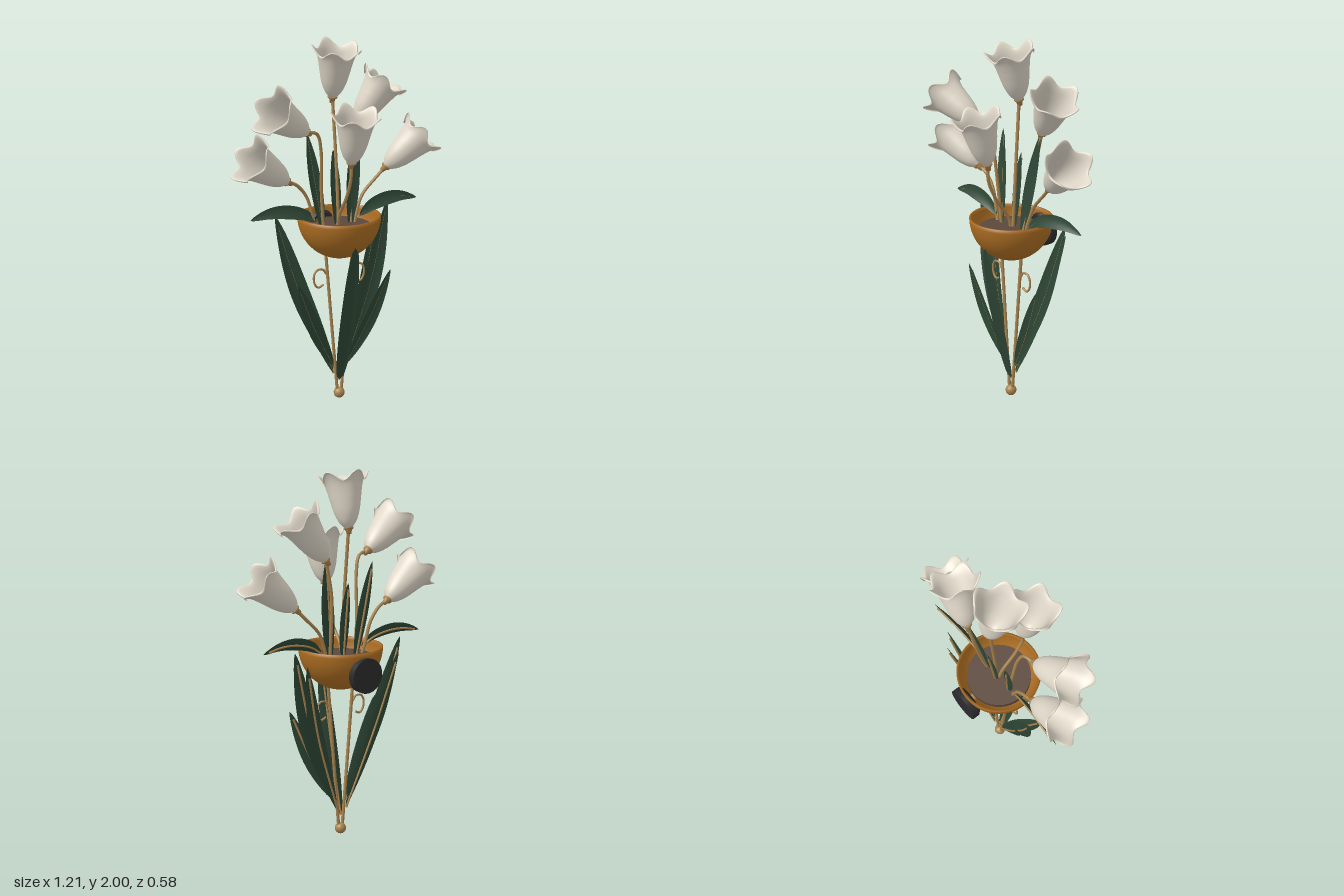
import * as THREE from 'three';
import { mergeVertices } from 'three/addons/utils/BufferGeometryUtils.js';

const V = (x, y, z) => new THREE.Vector3(x, y, z);
const CX = 0.008, CZ = -0.042; // axis of the bowl

function material(name, color, side = THREE.FrontSide) {
  const m = new THREE.MeshStandardMaterial({ color, side });
  m.name = name;
  return m;
}

export function createModel() {
  const petal = material('ivory petal', 0xdfd7c8, THREE.DoubleSide);
  const bowlColor = material('amber bowl', 0xad6e23);
  const brass = material('antique brass', 0xa98550);
  const green = material('dark green leaf', 0x2e4635, THREE.DoubleSide);
  const soilColor = material('brown soil', 0x5c483b);
  const black = material('black mount', 0x2b2b2d);

  const model = new THREE.Group();
  model.name = 'flowerSconce';

  function add(name, geometry, mat, x = 0, y = 0, z = 0, parent = model) {
    const mesh = new THREE.Mesh(geometry, mat);
    mesh.name = name;
    mesh.position.set(x, y, z);
    parent.add(mesh);
    return mesh;
  }
  const curveOf = (pts) => new THREE.CatmullRomCurve3(pts.map((p) => V(...p)));
  const tube = (name, pts, r, mat = brass) =>
    add(name, new THREE.TubeGeometry(curveOf(pts), 28, r, 8), mat);

  // Thin-walled hemispherical bowl with soil
  const profile = [];
  for (let i = 0; i <= 20; i++) {
    const a = (i / 20) * Math.PI / 2;
    profile.push(new THREE.Vector2(0.226 * Math.sin(a), -0.235 * Math.cos(a)));
  }
  for (let i = 20; i >= 0; i--) {
    const a = (i / 20) * Math.PI / 2;
    profile.push(new THREE.Vector2(0.215 * Math.sin(a), -0.224 * Math.cos(a)));
  }
  add('bowl', new THREE.LatheGeometry(profile, 56), bowlColor, CX, 1.065, CZ);
  add('soil', new THREE.CylinderGeometry(0.172, 0.172, 0.03, 40), soilColor, CX, 0.995, CZ);

  // Wall mount: chamfered disc and short post
  const disc = [[0, 0], [0.093, 0], [0.093, 0], [0.093, 0.04], [0.093, 0.04], [0.08, 0.053], [0.08, 0.053], [0, 0.053]];
  add('wallMount', new THREE.LatheGeometry(disc.map((p) => new THREE.Vector2(...p)), 40), black,
    0.012, 0.948, -0.288).rotation.x = Math.PI / 2;
  add('mountPost', new THREE.CylinderGeometry(0.02, 0.02, 0.07, 20), brass,
    0.012, 0.96, -0.24).rotation.x = Math.PI / 2;

  // Lower stems meeting in a ball, with a wire curl on each side
  add('bottomBall', new THREE.SphereGeometry(0.031, 24, 16), brass, CX, 0.033, CZ);
  for (const s of [-1, 1]) {
    tube('lowerStem', [[CX + s * 0.012, 0.04, CZ], [CX + s * 0.045, 0.42, CZ], [CX + s * 0.083, 0.87, CZ]], 0.009);
    tube('wireCurl', [[0.082, 0.745], [0.1, 0.771], [0.135, 0.772], [0.154, 0.745], [0.152, 0.7], [0.13, 0.673], [0.097, 0.685]]
      .map(([x, y]) => [CX + s * x, y, CZ]), 0.006);
  }

  // Leaf swept along a path, slightly folded, with a rib on its back; low bluntness gives round ends
  function leaf(name, pts, halfWidth, facing, bluntness = 0.7) {
    const curve = curveOf(pts);
    const g = new THREE.PlaneGeometry(2, 1, 6, 32);
    const p = g.attributes.position;
    for (let i = 0; i < p.count; i++) {
      const u = p.getX(i), t = THREE.MathUtils.clamp(p.getY(i) + 0.5, 0, 1);
      const tangent = curve.getTangent(t);
      const side = tangent.clone().cross(facing).normalize();
      const normal = side.clone().cross(tangent).normalize();
      const w = halfWidth * Math.pow(Math.max(0, Math.sin(Math.PI * Math.pow(t, 0.95))), bluntness);
      const q = curve.getPoint(t).addScaledVector(side, u * w).addScaledVector(normal, 0.2 * u * u * w);
      p.setXYZ(i, q.x, q.y, q.z);
    }
    g.computeVertexNormals();
    add(name, g, green);
    const back = facing.clone().normalize().multiplyScalar(-0.005);
    const rib = new THREE.CatmullRomCurve3(curve.getPoints(14).slice(0, 14).map((q) => q.add(back)));
    add(name + 'Rib', new THREE.TubeGeometry(rib, 24, 0.0055, 6), brass);
  }
  const forward = V(0, 0, 1), tilted = V(0, 0.45, 1), up = V(0, 1, 0);

  leaf('frontLeaf', [[CX, 0.11, -0.04], [CX, 0.5, 0.05], [CX, 0.925, 0.138]], 0.047, forward, 0.38);
  for (const s of [-1, 1]) {
    const at = (x, y, z) => [CX + s * x, y, z];
    leaf('tallLowerLeaf', [at(0.04, 0.2, -0.045), at(0.225, 0.65, -0.08), at(0.345, 1.085, -0.118)], 0.055, forward);
    leaf('backLowerLeaf', [at(0.03, 0.15, -0.05), at(0.19, 0.6, -0.1), at(0.3, 1.015, -0.163)], 0.045, forward);
    leaf('shortLowerLeaf', [at(0.04, 0.2, -0.035), at(0.175, 0.46, -0.005), at(0.285, 0.73, 0.025)], 0.042, forward);
    leaf('archingLeaf', [at(0.13, 1.04, -0.05), at(0.2, 1.085, -0.055), at(0.3, 1.112, -0.062), at(0.4, 1.115, -0.07), at(0.51, 1.092, -0.075)], 0.037, tilted);
  }
  leaf('leftUpperLeaf', [[0.08, 0.96, -0.05], [0.115, 1.25, -0.085], [0.155, 1.54, -0.115]], 0.04, forward);
  leaf('rightUpperLeaf', [[-0.08, 0.96, -0.05], [-0.115, 1.25, -0.085], [-0.145, 1.51, -0.115]], 0.035, forward);
  leaf('centerUpperLeaf', [[CX, 0.96, -0.06], [CX, 1.2, -0.085], [CX, 1.41, -0.11]], 0.03, forward);

  // Five-lobed bell with a ruffled rim that curls over
  const bellCurve = new THREE.SplineCurve([[0.02, 0], [0.045, 0.03], [0.066, 0.08], [0.08, 0.14], [0.089, 0.185], [0.1, 0.228], [0.114, 0.256], [0.124, 0.262], [0.127, 0.257]]
    .map((p) => new THREE.Vector2(...p)));
  let bell = new THREE.LatheGeometry(bellCurve.getPoints(32), 60);
  bell.deleteAttribute('normal');
  bell.deleteAttribute('uv');
  bell = mergeVertices(bell, 1e-5);
  const bp = bell.attributes.position;
  for (let i = 0; i < bp.count; i++) {
    const x = bp.getX(i), y = bp.getY(i), z = bp.getZ(i);
    const wave = Math.cos(5 * (Math.atan2(x, z) - Math.PI));
    const t = Math.pow(Math.hypot(x, z) / 0.127, 4);
    const k = 1 + 0.09 * t * wave;
    bp.setXYZ(i, x * k, y + 0.024 * t * wave, z * k);
  }
  bell.computeVertexNormals();
  // Calyx cup whose flat top closes the bottom of the bell
  const calyx = new THREE.LatheGeometry([[0, -0.03], [0.012, -0.03], [0.016, -0.01], [0.026, 0], [0.026, 0], [0.026, 0.007], [0.026, 0.007], [0, 0.007]]
    .map((p) => new THREE.Vector2(...p)), 20);

  // Flowers: rim centre, then the stem path ending at the flower base
  const flowers = [
    ['backFlower', [-0.005, 1.975, -0.04], [[0.01, 0.96, -0.05], [0.008, 1.3, -0.07], [0, 1.695, -0.1]]],
    ['frontFlower', [-0.01, 1.635, 0.17], [[0, 0.96, -0.05], [0, 1.06, -0.03], [-0.002, 1.18, 0.055], [-0.003, 1.29, 0.105], [-0.003, 1.38, 0.112]]],
    ['rightUpperFlower', [-0.44, 1.69, 0.07], [[-0.08, 0.96, -0.05], [-0.1, 1.2, -0.04], [-0.115, 1.44, -0.015], [-0.145, 1.53, 0], [-0.21, 1.548, 0.01]]],
    ['rightLowerFlower', [-0.515, 1.43, -0.03], [[-0.11, 0.96, -0.05], [-0.14, 1.06, -0.06], [-0.175, 1.18, -0.065], [-0.23, 1.25, -0.065], [-0.29, 1.28, -0.06]]],
    ['leftUpperFlower', [0.31, 1.775, -0.075], [[0.08, 0.96, -0.05], [0.095, 1.06, -0.07], [0.115, 1.34, -0.11], [0.158, 1.545, -0.12]]],
    ['leftLowerFlower', [0.5, 1.47, 0], [[0.1, 0.96, -0.05], [0.125, 1.06, -0.06], [0.165, 1.155, -0.065], [0.24, 1.235, -0.06], [0.3, 1.295, -0.05]]],
  ];
  for (const [name, rim, path] of flowers) {
    tube(name + 'Stem', path, 0.009);
    const base = V(...path[path.length - 1]);
    const flower = new THREE.Group();
    flower.name = name;
    flower.position.copy(base);
    flower.quaternion.setFromUnitVectors(up, V(...rim).sub(base).normalize());
    add('bell', bell, petal, 0, 0.005, 0, flower);
    add('calyx', calyx, brass, 0, 0, 0, flower);
    model.add(flower);
  }
  return model;
}
